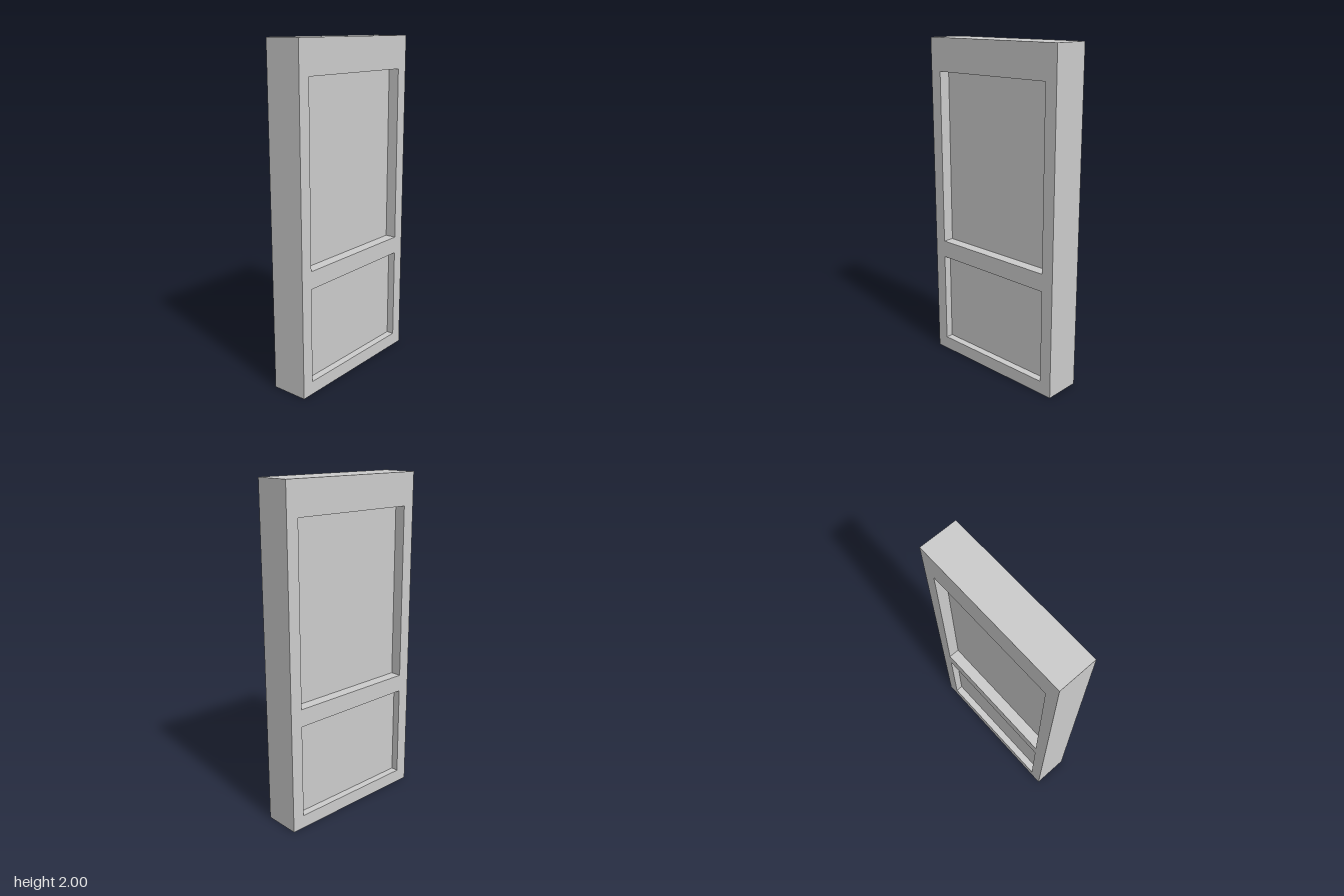
import * as THREE from 'three';

const WIDTH = 0.96, HEIGHT = 2, DEPTH = 0.224;
const OPENING_WIDTH = 0.81;

// Openings in the frame; recess is the panel's setback on both faces
const openings = [
  { name: 'upperPanel', bottom: 0.75, top: 1.805, recess: 0.067 },
  { name: 'lowerPanel', bottom: 0.08, top: 0.645, recess: 0.045 },
];

function rectangle(path, width, bottom, top) {
  const h = width / 2;
  path.moveTo(-h, bottom);
  path.lineTo(h, bottom);
  path.lineTo(h, top);
  path.lineTo(-h, top);
  path.closePath();
  return path;
}

export function createModel() {
  const model = new THREE.Group();
  model.name = 'panelledDoor';
  const material = new THREE.MeshStandardMaterial({ color: 0xcccccc, flatShading: true });

  const add = (name, geometry) => {
    const mesh = new THREE.Mesh(geometry, material);
    mesh.name = name;
    model.add(mesh);
    return mesh;
  };

  // Frame: stiles and rails in one piece with two openings
  const outline = rectangle(new THREE.Shape(), WIDTH, 0, HEIGHT);
  for (const o of openings) {
    outline.holes.push(rectangle(new THREE.Path(), OPENING_WIDTH, o.bottom, o.top));
  }
  const frame = new THREE.ExtrudeGeometry(outline, { depth: DEPTH, bevelEnabled: false });
  frame.translate(0, 0, -DEPTH / 2);
  add('frame', frame);

  // Panels recessed from the front and the back
  for (const o of openings) {
    const panel = new THREE.BoxGeometry(OPENING_WIDTH, o.top - o.bottom, DEPTH - 2 * o.recess);
    add(o.name, panel).position.y = (o.top + o.bottom) / 2;
  }

  return model;
}
